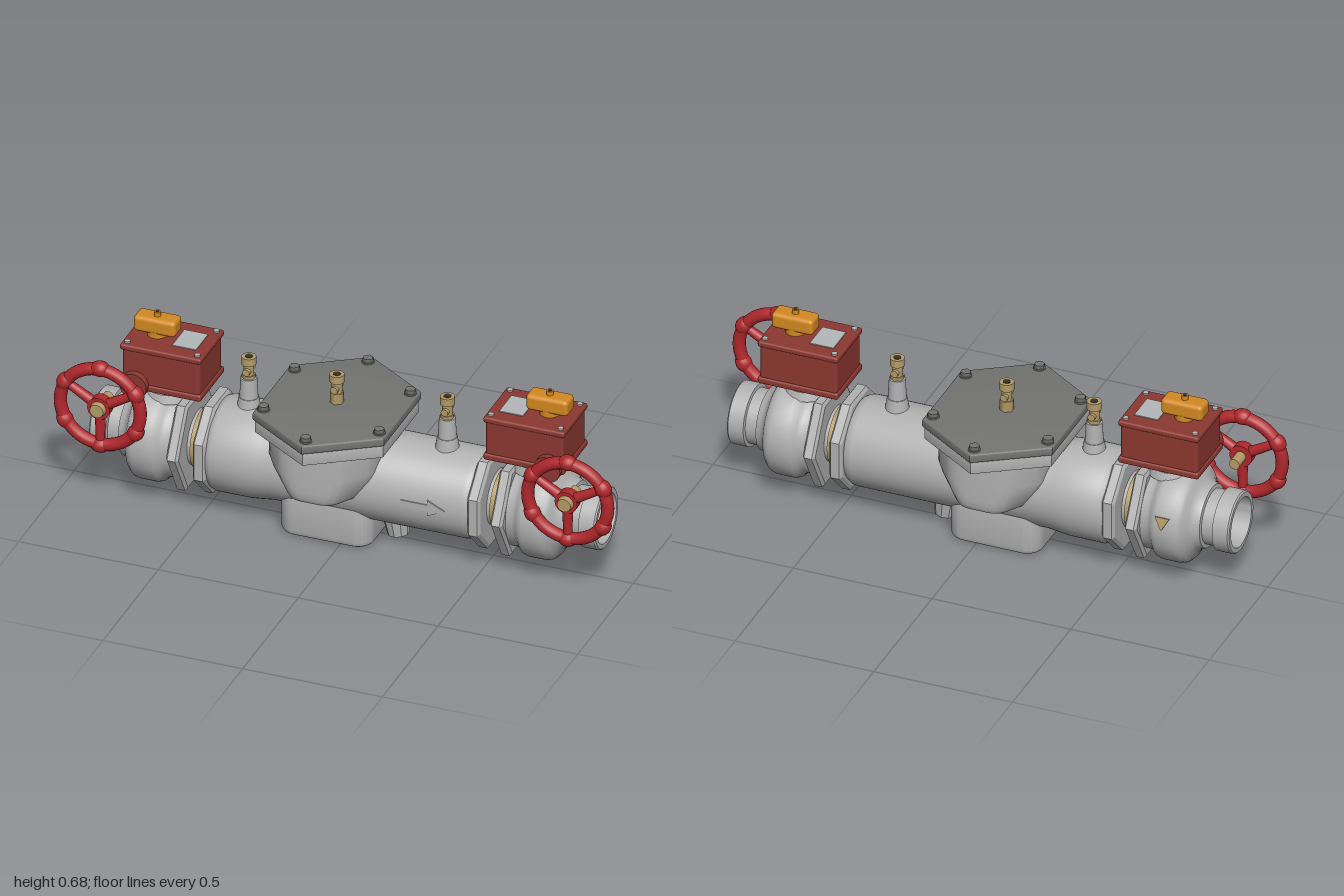
import * as THREE from 'three';
import { toCreasedNormals } from 'three/addons/utils/BufferGeometryUtils.js';
import { RoundedBoxGeometry } from 'three/addons/geometries/RoundedBoxGeometry.js';

const AXIS_Y = 0.23;   // height of the pipe axis
const MID_X = -0.06;   // centre of the access cover

const mat = (name, color) => Object.assign(new THREE.MeshStandardMaterial({ color }), { name });

export function createModel() {
  const M = {
    steel: mat('cast grey', 0xb2b2b2),
    cover: mat('dark cover grey', 0x747472),
    box: mat('housing red', 0x8c3831),
    wheel: mat('handwheel red', 0xb0272c),
    brass: mat('brass', 0xb59c68),
    orange: mat('indicator orange', 0xd38a22),
    label: mat('label grey', 0xb4b8b8),
    dark: mat('dark bore', 0x3a3228),
  };
  const root = new THREE.Group();
  root.name = 'doubleCheckValve';

  const add = (parent, name, geo, material, x = 0, y = 0, z = 0) => {
    const mesh = new THREE.Mesh(geo, material);
    mesh.name = name;
    mesh.position.set(x, y, z);
    parent.add(mesh);
    return mesh;
  };
  // Turned part along x, from [x, radius] pairs
  const turned = (pts, segs = 56, phi = 0) => toCreasedNormals(
    new THREE.LatheGeometry(pts.map(([x, r]) => new THREE.Vector2(r, x)), segs, phi).rotateZ(-Math.PI / 2),
    segs > 10 ? 0.6 : 0.3);
  // Chamfered polygonal nut along x, from x0 to x1
  const nut = (x0, x1, r, sides, phi) => turned(
    [[x0, 0], [x0, r * 0.93], [x0 + 0.008, r], [x1 - 0.008, r], [x1, r * 0.93], [x1, 0]], sides, phi);
  const cyl = (r, h, segs = 24, r2 = r) => new THREE.CylinderGeometry(r2, r, h, segs);
  const poly = pts => new THREE.Shape(pts.map(p => new THREE.Vector2(p[0], p[1])));
  // Plan outline extruded upwards with a small bevel
  const slab = (shape, h, b) => toCreasedNormals(new THREE.ExtrudeGeometry(shape, {
    depth: h - 2 * b, bevelThickness: b, bevelSize: b, bevelOffset: -b, bevelSegments: 4, curveSegments: 10,
  }).translate(0, 0, b).rotateX(-Math.PI / 2), 0.5);

  // Main body
  add(root, 'mainBody', turned([[-0.48, 0], [-0.48, 0.145], [-0.468, 0.16], [-0.45, 0.166], [-0.33, 0.166],
    [-0.29, 0.162], [-0.25, 0.157], [0.44, 0.157], [0.455, 0.154], [0.47, 0.145], [0.47, 0]]), M.steel, 0, AXIS_Y);

  // Access cover and its flange
  const hexagon = s => poly([[0, -0.32], [0.235, -0.167], [0.235, 0.167], [0, 0.32], [-0.235, 0.167], [-0.235, -0.167]]
    .map(([x, z]) => [x * s, z * s]));
  add(root, 'coverFlange', slab(hexagon(0.975), 0.045, 0.002), M.steel, MID_X, 0.393);
  add(root, 'accessCover', slab(hexagon(1), 0.032, 0.006), M.cover, MID_X, 0.439);
  for (const [x, z] of [[0, 0.28], [0, -0.28], [0.207, 0.14], [0.207, -0.14], [-0.207, 0.14], [-0.207, -0.14]]) {
    add(root, 'coverBoltWasher', cyl(0.021, 0.006), M.cover, MID_X + x, 0.473, z);
    add(root, 'coverBolt', cyl(0.018, 0.018, 6), M.cover, MID_X + x, 0.48, z);
  }

  // Neck under the cover: a softened octagon narrowing downwards
  let plan = [[0.2, -0.135], [0.2, 0.135], [0.1, 0.25], [-0.1, 0.25], [-0.2, 0.135], [-0.2, -0.135], [-0.1, -0.25], [0.1, -0.25]];
  for (let k = 0; k < 2; k++) {
    plan = plan.flatMap((p, i) => {
      const q = plan[(i + 1) % plan.length];
      return [0.15, 0.85].map(t => [p[0] + (q[0] - p[0]) * t, p[1] + (q[1] - p[1]) * t]);
    });
  }
  const levels = [[0.4, 1, 1], [0.31, 0.99, 1], [0.28, 0.93, 1], [0.25, 0.83, 1], [0.225, 0.74, 0.99],
    [0.211, 0.69, 0.97], [0.205, 0.63, 0.93], [0.205, 0, 0]];
  const pos = [], idx = [], n = plan.length;
  levels.forEach(([y, sx, sz], k) => plan.forEach(([x, z], i) => {
    pos.push(x * sx, y, z * sz);
    if (k === levels.length - 1) return;
    const a = k * n + i, b = k * n + (i + 1) % n;
    idx.push(a, b, a + n, b, b + n, a + n);
  }));
  const neck = new THREE.BufferGeometry();
  neck.setAttribute('position', new THREE.Float32BufferAttribute(pos, 3));
  neck.setIndex(idx);
  add(root, 'coverNeck', toCreasedNormals(neck, 0.7), M.steel, MID_X);

  // Bottom boss with rounded corners
  const w = 0.165, d = 0.133, r = 0.06;
  const foot = new THREE.Shape();
  foot.absarc(w - r, d - r, r, 0, Math.PI / 2);
  foot.absarc(r - w, d - r, r, Math.PI / 2, Math.PI);
  foot.absarc(r - w, r - d, r, Math.PI, Math.PI * 1.5);
  foot.absarc(w - r, r - d, r, Math.PI * 1.5, Math.PI * 2);
  add(root, 'bottomBoss', slab(foot, 0.17, 0.02), M.steel, MID_X, 0);

  // Drain lug beside the boss
  add(root, 'drainLug', toCreasedNormals(cyl(0.038, 0.1, 10, 0.052), 0.3), M.steel, 0.155, 0.065).rotation.z = 0.12;

  // Raised flow arrow on the front
  add(root, 'flowArrow', new THREE.ExtrudeGeometry(poly([[0.23, -0.012], [0.325, -0.012], [0.325, -0.03], [0.388, 0],
    [0.325, 0.03], [0.325, 0.012], [0.23, 0.012]]), { depth: 0.009, bevelEnabled: false }), M.steel, 0, AXIS_Y, 0.151);

  // Test cocks; those on the body stand on grey posts
  for (const x of [-0.375, MID_X, 0.335]) {
    const cock = new THREE.Group();
    cock.name = 'testCock';
    cock.position.x = x;
    root.add(cock);
    if (x !== MID_X) {
      add(cock, 'cockBoss', cyl(0.042, 0.05, 24, 0.034), M.steel, 0, 0.4);
      add(cock, 'cockPost', cyl(0.033, 0.1, 24, 0.028), M.steel, 0, 0.448);
    }
    add(cock, 'cockBase', cyl(0.024, 0.04, 6), M.brass, 0, 0.49);
    add(cock, 'cockStem', cyl(0.018, 0.06), M.brass, 0, 0.53);
    add(cock, 'cockCross', cyl(0.013, 0.056, 16).rotateX(Math.PI / 2), M.brass, 0, 0.527);
    add(cock, 'cockHead', cyl(0.025, 0.028, 24), M.brass, 0, 0.564);
    add(cock, 'cockBore', cyl(0.013, 0.004, 16), M.dark, 0, 0.578);
  }

  // Shut-off valve at each end
  for (const s of [-1, 1]) {
    const g = new THREE.Group();
    g.name = s > 0 ? 'leftShutoffValve' : 'rightShutoffValve';
    root.add(g);
    const turnedPart = (name, geo, m) => { add(g, name, geo, m, 0, AXIS_Y).rotation.y = s > 0 ? 0 : Math.PI; };

    // Pipe unions
    turnedPart('bodyCollar', nut(0.468, 0.514, 0.179, 8, Math.PI / 8), M.steel);
    turnedPart('unionPipe', turned([[0.5, 0.098], [0.57, 0.098]]), M.steel);
    turnedPart('unionRing', turned([[0.527, 0.09], [0.527, 0.106], [0.545, 0.106], [0.545, 0.09]]), M.brass);
    turnedPart('unionNut', nut(0.558, 0.602, 0.187, 6, 0), M.steel);

    // Valve casting with grooved, hollow pipe end
    turnedPart('valveCasting', turned([[0.59, 0.15], [0.625, 0.15], [0.64, 0.158], [0.65, 0.17], [0.665, 0.175],
      [0.725, 0.175], [0.742, 0.17], [0.755, 0.157], [0.765, 0.135], [0.78, 0.117], [0.8, 0.11], [0.802, 0.096],
      [0.843, 0.096], [0.845, 0.109], [0.9, 0.109], [0.905, 0.104], [0.905, 0.088], [0.7, 0.088], [0.7, 0]]), M.steel);
    add(g, 'actuatorPad', cyl(0.085, 0.03, 32, 0.075), M.steel, s * 0.66, 0.392);
    add(g, 'actuatorNeck', cyl(0.05, 0.06, 32), M.steel, s * 0.66, 0.41);

    // Gear housing
    const bx = s * 0.65;
    add(g, 'housingBase', new RoundedBoxGeometry(0.29, 0.025, 0.218, 3, 0.008), M.box, bx, 0.441);
    add(g, 'housing', new RoundedBoxGeometry(0.278, 0.15, 0.206, 3, 0.012), M.box, bx, 0.512);
    add(g, 'housingLid', new RoundedBoxGeometry(0.29, 0.022, 0.218, 3, 0.008), M.box, bx, 0.582);
    add(g, 'gearBoss', cyl(0.048, 0.04, 32).rotateX(Math.PI / 2), M.box, s * 0.74, 0.449, 0.107);
    for (const dx of [-0.125, 0.125]) for (const z of [-0.086, 0.086]) {
      add(g, 'lidScrew', cyl(0.01, 0.008, 12), M.label, bx + dx, 0.595, z);
    }
    add(g, 'labelPlate', new THREE.BoxGeometry(0.085, 0.004, 0.11), M.label, s * 0.585, 0.594);

    // Position indicator
    const ix = s * 0.702;
    add(g, 'indicatorBase', cyl(0.034, 0.03, 32), M.orange, ix, 0.6);
    add(g, 'indicator', new RoundedBoxGeometry(0.15, 0.058, 0.07, 4, 0.014), M.orange, ix, 0.636);
    add(g, 'indicatorPin', cyl(0.012, 0.02, 16), M.orange, ix, 0.67);
    add(g, 'indicatorPinTop', cyl(0.007, 0.002, 12), M.dark, ix, 0.6805);

    // Handwheel with six grips and three spokes
    const wheel = new THREE.Group();
    wheel.name = 'handwheel';
    wheel.position.set(s * 0.836, 0.38, 0.177);
    g.add(wheel);
    add(wheel, 'rim', new THREE.TorusGeometry(0.143, 0.022, 14, 56), M.wheel);
    for (let i = 0; i < 6; i++) {
      const a = Math.PI / 6 + i * Math.PI / 3, c = Math.cos(a), t = Math.sin(a);
      const grip = add(wheel, 'grip', new THREE.SphereGeometry(0.028, 18, 12), M.wheel, c * 0.146, t * 0.146);
      grip.scale.y = 1.2;
      grip.rotation.z = a;
      if (i % 2) continue;
      add(wheel, 'spoke', cyl(0.019, 0.13, 14, 0.015), M.wheel, c * 0.075, t * 0.075).rotation.z = a - Math.PI / 2;
    }
    add(wheel, 'hub', cyl(0.04, 0.036, 28).rotateX(Math.PI / 2), M.wheel);
    add(wheel, 'stem', cyl(0.019, 0.09, 20).rotateX(Math.PI / 2), M.brass, 0, 0, -0.028);
    add(wheel, 'hubCap', cyl(0.029, 0.024, 28, 0.024).rotateX(-Math.PI / 2).rotateY(Math.PI), M.brass, 0, 0, 0.024);
  }

  // Small triangular tag on the back of one valve
  const tag = new THREE.ExtrudeGeometry(poly([[-0.026, 0.02], [0, -0.026], [0.026, 0.02]]), { depth: 0.009, bevelEnabled: false });
  const tagMesh = add(root, 'backTag', tag, M.brass, -0.69, 0.27, -0.166);
  tagMesh.rotation.set(0.23, Math.PI, 0);
  return root;
}
